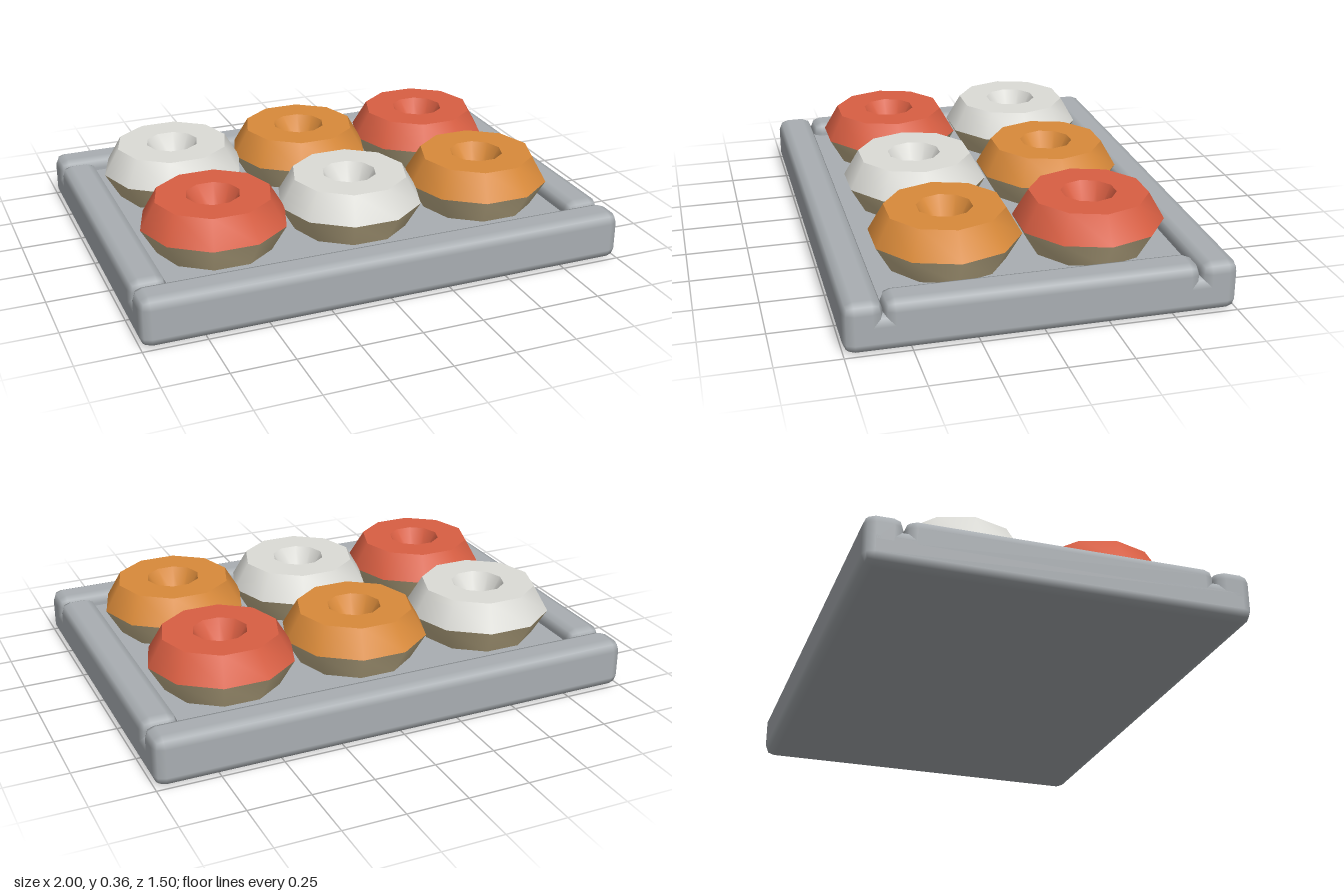
import * as THREE from 'three';
import { RoundedBoxGeometry } from 'three/addons/geometries/RoundedBoxGeometry.js';
import { toCreasedNormals } from 'three/addons/utils/BufferGeometryUtils.js';

const mat = (name, color) => {
  const m = new THREE.MeshStandardMaterial({ color });
  m.name = name;
  return m;
};

export function createModel() {
  const grey = mat('trayGrey', 0xa9aeb2);
  const dough = mat('dough', 0xc8b78f);
  const red = mat('redIcing', 0xd95f43);
  const white = mat('whiteIcing', 0xdcdcd7);
  const orange = mat('orangeIcing', 0xd98a3a);

  const model = new THREE.Group();
  model.name = 'donutTray';

  // Tray: rounded floor slab with four rounded rails sunk into it
  const tray = new THREE.Group();
  tray.name = 'tray';
  model.add(tray);
  const slab = (name, w, h, d, x, y, z) => {
    const mesh = new THREE.Mesh(new RoundedBoxGeometry(w, h, d, 1, 0.042), grey);
    mesh.name = name;
    mesh.position.set(x, y, z);
    tray.add(mesh);
  };
  slab('trayFloor', 2, 0.147, 1.5, 0, 0.0735, 0);
  for (const s of [1, -1]) {
    slab(s > 0 ? 'frontRail' : 'backRail', 2, 0.15, 0.15, 0, 0.125, s * 0.675);
    slab(s > 0 ? 'leftRail' : 'rightRail', 0.15, 0.15, 1.2, s * 0.925, 0.125, 0);
  }

  // Donut halves: ten-sided rings with a hexagonal section
  const R = 0.172, tube = 0.125;
  const halfRing = (startDegrees) => {
    const points = [0, 60, 120, 180].map((step) => {
      const a = THREE.MathUtils.degToRad(startDegrees + step);
      return new THREE.Vector2(R + tube * Math.cos(a), tube * Math.sin(a));
    });
    return toCreasedNormals(new THREE.LatheGeometry(points, 10, Math.PI / 2), 0.65);
  };
  const icingGeometry = halfRing(0);
  const doughGeometry = halfRing(180);

  // Two rows of three donuts
  const rows = [[red, white, orange], [white, orange, red]];
  rows.forEach((row, r) => row.forEach((icing, c) => {
    const donut = new THREE.Group();
    donut.name = 'donut';
    const top = new THREE.Mesh(icingGeometry, icing);
    top.name = 'icing';
    const base = new THREE.Mesh(doughGeometry, dough);
    base.name = 'doughBase';
    donut.add(top, base);
    donut.position.set((c - 1) * 0.575, 0.254, r === 0 ? 0.287 : -0.287);
    model.add(donut);
  }));

  return model;
}
